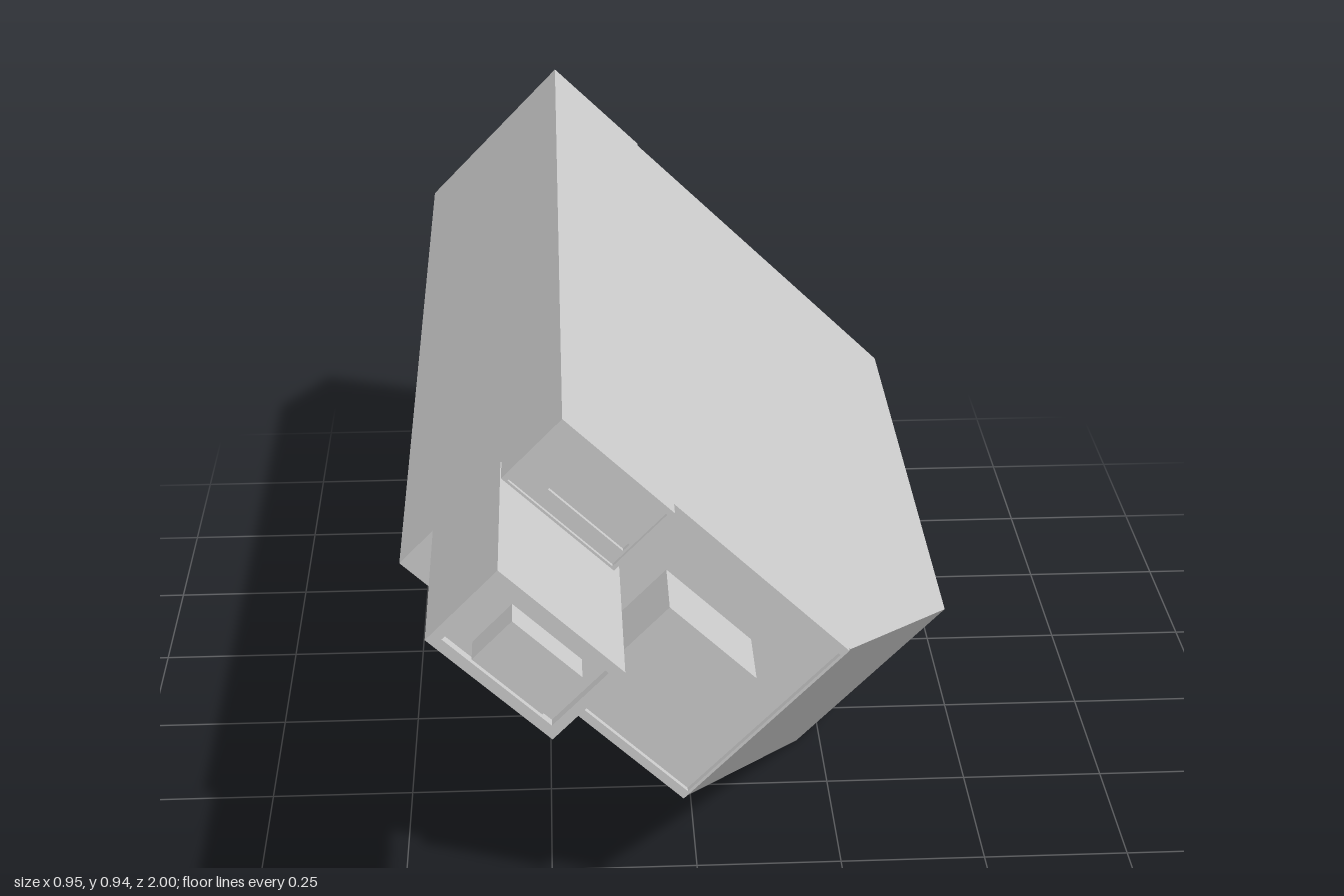
import * as THREE from 'three';

const material = new THREE.MeshStandardMaterial({ color: 0xcccccc, flatShading: true });

export function createModel() {
  const model = new THREE.Group();
  // Everything is built upright, then the whole device is tilted about z.
  const device = new THREE.Group();
  device.name = 'device';
  device.rotation.z = -0.77;
  model.add(device);

  const add = (name, geometry) => {
    const mesh = new THREE.Mesh(geometry, material);
    mesh.name = name;
    device.add(mesh);
  };

  // Box given by its limits on each axis
  const block = (name, x0, x1, y0, y1, z0, z1) => {
    const g = new THREE.BoxGeometry(x1 - x0, y1 - y0, z1 - z0);
    g.translate((x0 + x1) / 2, (y0 + y1) / 2, (z0 + z1) / 2);
    add(name, g);
  };

  const rect = (path, x0, x1, y0, y1) => {
    path.moveTo(x0, y0).lineTo(x1, y0).lineTo(x1, y1).lineTo(x0, y1).closePath();
    return path;
  };

  // Flat plate with a rectangular opening
  const frame = (name, outer, inner, z0, z1) => {
    const shape = rect(new THREE.Shape(), ...outer);
    shape.holes.push(rect(new THREE.Path(), ...inner));
    const g = new THREE.ExtrudeGeometry(shape, { depth: z1 - z0, bevelEnabled: false });
    g.translate(0, 0, z0);
    add(name, g);
  };

  // Main body: plan outline with a sloped front corner, extruded through its thickness
  const outline = new THREE.Shape();
  outline.moveTo(-0.577, 1).lineTo(-0.577, -0.625).lineTo(-0.179, -0.625)
    .lineTo(0.147, -0.11).lineTo(0.147, 1).closePath();
  const body = new THREE.ExtrudeGeometry(outline, { depth: 0.381, bevelEnabled: false });
  body.rotateX(-Math.PI / 2); // shape y becomes -z, depth becomes y
  body.translate(0, 0.146, 0);
  add('mainBody', body);
  frame('mainFrontRim', [-0.577, -0.183, 0.146, 0.527], [-0.562, -0.188, 0.161, 0.512], 0.625, 0.635);
  block('frontBlock', -0.498, -0.31, 0.317, 0.432, 0.62, 0.745);

  // Narrower side body and its raised front panel
  block('sideBody', -0.813, -0.577, 0.158, 0.53, -1, 0.625);
  block('sidePanel', -0.813, -0.577, 0.39, 0.53, 0.625, 0.66);
  frame('sidePanelRim', [-0.813, -0.577, 0.39, 0.53], [-0.803, -0.584, 0.398, 0.52], 0.66, 0.675);
  frame('slotSurround', [-0.803, -0.584, 0.398, 0.52], [-0.746, -0.588, 0.426, 0.441], 0.66, 0.668);

  // Forward barrel with recessed face and end block
  block('barrel', -0.815, -0.565, 0.239, 0.394, 0.62, 0.95);
  frame('barrelRim', [-0.815, -0.565, 0.239, 0.394], [-0.798, -0.582, 0.256, 0.377], 0.95, 0.966);
  block('barrelEndBlock', -0.757, -0.62, 0.276, 0.361, 0.94, 1);

  return model;
}
